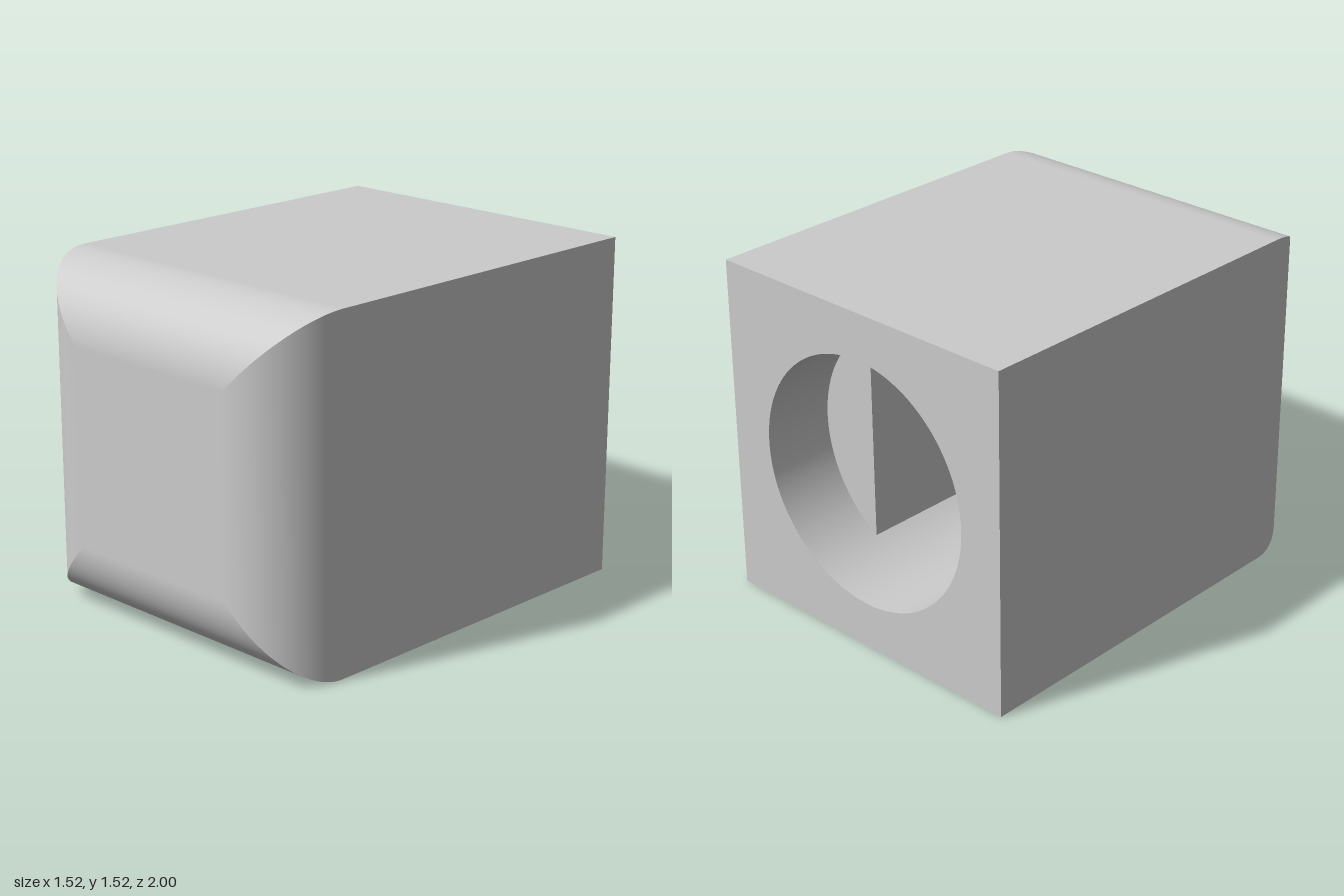
import * as THREE from 'three';

const HALF = 0.7625;   // half width of the square body
const FILLET = 0.33;   // rounding of the front edges
const BORE = 0.557;    // shaft hole radius
const FLAT = BORE / 2; // distance of the shaft flat from the axis
const BACK = -1, FRONT = 1, STEP = -0.67, END = 0.67;

export function createModel() {
  const model = new THREE.Group();
  const material = new THREE.MeshStandardMaterial({ color: 0xcccccc });
  const rad = THREE.MathUtils.degToRad;

  const add = (name, geometry) => {
    const mesh = new THREE.Mesh(geometry, material);
    mesh.name = name;
    mesh.position.y = HALF;
    model.add(mesh);
    return mesh;
  };
  // Flat shape turned to face the back at depth z
  const backFacing = (shape, z) =>
    new THREE.ShapeGeometry(shape, 64).rotateY(Math.PI).translate(0, 0, z);
  // Inward-facing cylinder wall along z
  const boreWall = (z0, z1, start, sweep) => new THREE.LatheGeometry(
    [new THREE.Vector2(BORE, z1), new THREE.Vector2(BORE, z0)], 96, start, sweep
  ).rotateX(Math.PI / 2);

  // Four side panels, each curling over to the front and mitred at the corners
  const steps = 24;
  for (let side = 0; side < 4; side++) {
    const panel = new THREE.PlaneGeometry(2, 2, 1, steps + 1);
    const { position, normal } = panel.attributes;
    for (let i = 0; i < position.count; i++) {
      const row = Math.floor(i / 2);
      const a = Math.max(0, row - 1) / steps * Math.PI / 2;
      const h = HALF - FILLET + FILLET * Math.cos(a);
      const z = row === 0 ? BACK : FRONT - FILLET + FILLET * Math.sin(a);
      position.setXYZ(i, i % 2 ? h : -h, h, z);
      normal.setXYZ(i, 0, Math.cos(a), Math.sin(a));
    }
    add(['topPanel', 'rightPanel', 'bottomPanel', 'leftPanel'][side],
      panel.rotateZ(side * Math.PI / 2));
  }

  // Flat front face inside the rounding
  const inner = 2 * (HALF - FILLET);
  add('frontFace', new THREE.PlaneGeometry(inner, inner).translate(0, 0, FRONT));

  // Back face with the round opening
  const square = new THREE.Shape([[-1, -1], [1, -1], [1, 1], [-1, 1]]
    .map(([x, y]) => new THREE.Vector2(x * HALF, y * HALF)));
  square.holes.push(new THREE.Path().absarc(0, 0, BORE, 0, Math.PI * 2, true));
  add('backFace', backFacing(square, BACK));

  // Round entry, then a D-shaped socket
  add('boreEntry', boreWall(BACK, STEP, 0, Math.PI * 2));
  add('socketWall', boreWall(STEP, END, rad(150), rad(240)));
  add('socketFlat', new THREE.PlaneGeometry(END - STEP, BORE * Math.sqrt(3))
    .rotateY(-Math.PI / 2).translate(FLAT, 0, (STEP + END) / 2));
  add('socketStep', backFacing(
    new THREE.Shape().absarc(0, 0, BORE, rad(120), rad(240), false), STEP));
  add('socketEnd', backFacing(
    new THREE.Shape().absarc(0, 0, BORE, rad(-120), rad(120), false), END));

  return model;
}
